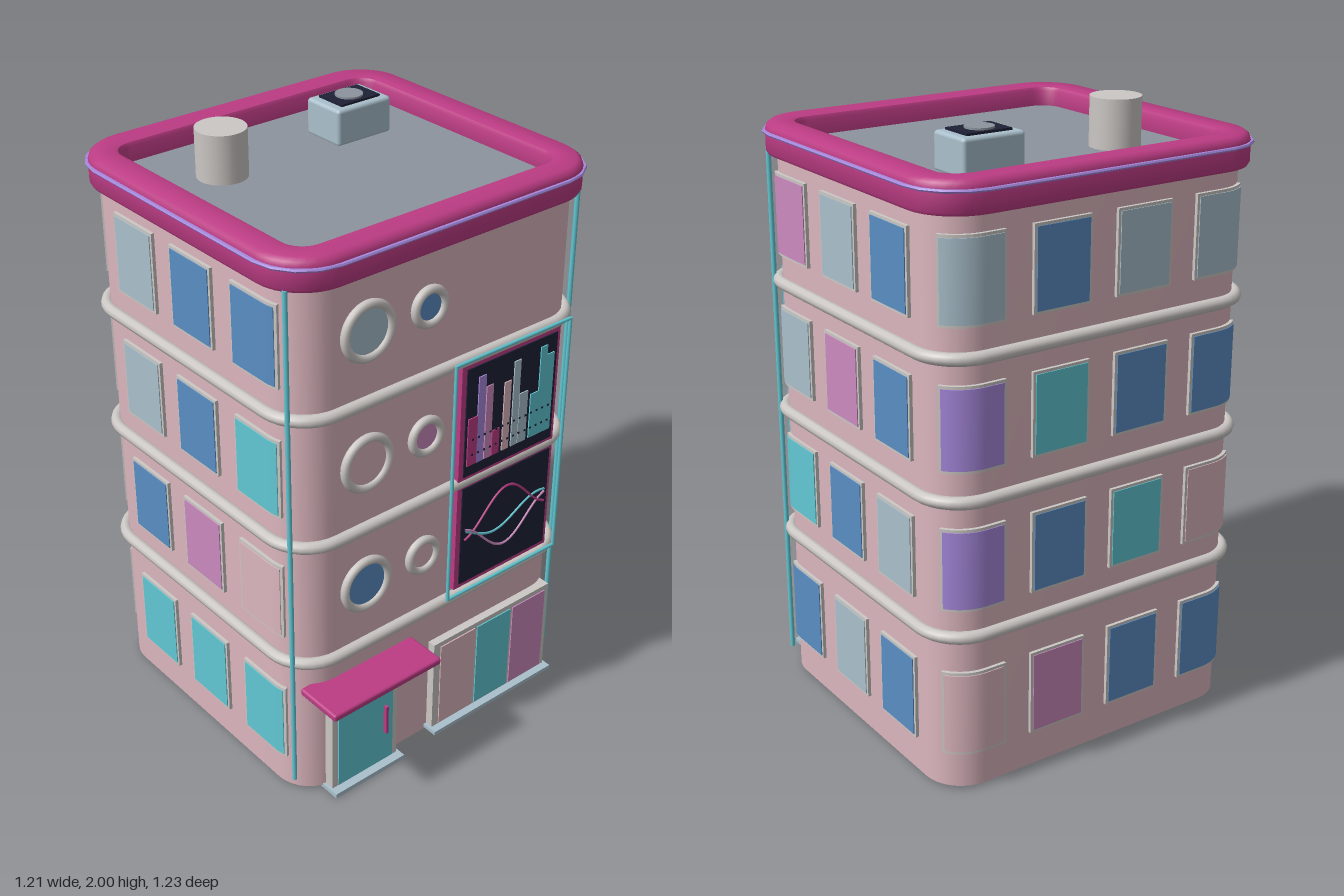
import * as THREE from 'three';
import { toCreasedNormals } from 'three/addons/utils/BufferGeometryUtils.js';
import { RoundedBoxGeometry } from 'three/addons/geometries/RoundedBoxGeometry.js';

const material = (name, color) => {
  const m = new THREE.MeshStandardMaterial({ color });
  m.name = name;
  return m;
};
const M = {
  wall: material('wall pink', 0xdcb6be), trim: material('pale grey trim', 0xcbc7c4),
  magenta: material('magenta', 0xbc3c84), purple: material('purple', 0xa688dc),
  cyan: material('cyan', 0x62c8d4), blue: material('blue', 0x5a8ec4),
  ice: material('ice blue', 0xaac0cc), pink: material('orchid pink', 0xcb8abf),
  dark: material('dark navy', 0x1e2036), roof: material('roof grey', 0x8d949e),
};

// Footprint: a rounded rectangle around (0, CZ)
const CZ = -0.05, HX = 0.56, HZ = 0.52, R = 0.13;
const FRONT = CZ + HZ;

function contour(off, seg) {
  const pts = [];
  for (let q = 0; q < 4; q++) {
    const sx = q === 0 || q === 3 ? 1 : -1, sz = q < 2 ? 1 : -1;
    for (let i = 0; i <= seg; i++) {
      const a = (q + i / seg) * Math.PI / 2;
      pts.push([sx * (HX - R) + (R + off) * Math.cos(a), sz * (HZ - R) + (R + off) * Math.sin(a)]);
    }
  }
  return pts;
}

// Sweeps a profile of [outward offset, y, scale] around the footprint
function loft(profile, seg = 8, closed = true) {
  const pos = [], index = [], n = 4 * (seg + 1);
  const rows = closed ? [...profile, profile[0]] : profile;
  for (const [off, y, k = 1] of rows)
    for (const [x, z] of contour(off, seg)) pos.push(x * k, y, CZ + z * k);
  for (let j = 0; j < rows.length - 1; j++)
    for (let i = 0; i < n; i++) {
      const a = j * n + i, b = j * n + (i + 1) % n, c = a + n, d = b + n;
      index.push(a, c, b, b, c, d);
    }
  const g = new THREE.BufferGeometry();
  g.setAttribute('position', new THREE.Float32BufferAttribute(pos, 3));
  g.setIndex(index);
  return toCreasedNormals(g, 0.7);
}

export function createModel() {
  const model = new THREE.Group();
  model.name = 'building';
  const add = (name, geo, mat, x = 0, y = 0, z = 0, parent = model) => {
    const mesh = new THREE.Mesh(geo, mat);
    mesh.name = name;
    mesh.position.set(x, y, z);
    parent.add(mesh);
    return mesh;
  };
  // Box given by its limits
  const box = (name, mat, x0, x1, y0, y1, z0, z1) =>
    add(name, new THREE.BoxGeometry(x1 - x0, y1 - y0, z1 - z0), mat,
      (x0 + x1) / 2, (y0 + y1) / 2, (z0 + z1) / 2);

  // Shell, floor ledges, parapet and roof
  add('walls', loft([[0, 0.01, 0], [0, 0.01], [0, 1.835], [0, 1.835, 0]], 8, false), M.wall);
  add('roofDeck', loft([[-0.05, 1.845], [-0.05, 1.845, 0]], 8, false), M.roof);
  for (const y of [0.53, 0.965, 1.4]) {
    const p = [];
    for (let i = 0; i < 10; i++) {
      const a = i / 10 * Math.PI * 2;
      p.push([0.011 + 0.02 * Math.cos(a), y + 0.02 * Math.sin(a)]);
    }
    add('floorLedge', loft(p), M.trim);
  }
  add('parapet', loft([[-0.06, 1.81], [0.028, 1.81], [0.034, 1.82], [0.034, 1.885], [0.029, 1.9],
    [0.015, 1.91], [-0.045, 1.91], [-0.058, 1.906], [-0.065, 1.895], [-0.065, 1.82]]), M.magenta);
  add('parapetLine', loft([[0.032, 1.875], [0.042, 1.875], [0.045, 1.88], [0.042, 1.885], [0.032, 1.885]], 4), M.purple);

  // Rooftop vent and cooling unit
  add('vent', new THREE.CylinderGeometry(0.08, 0.08, 0.16, 32), M.trim, -0.275, 1.92, -0.245);
  add('coolingUnit', new RoundedBoxGeometry(0.215, 0.12, 0.16, 2, 0.012), M.ice, 0.243, 1.9, -0.275);
  box('coolingGrille', M.dark, 0.167, 0.322, 1.959, 1.967, -0.33, -0.218);
  add('coolingFan', new THREE.CylinderGeometry(0.045, 0.045, 0.008, 20), M.roof, 0.243, 1.969, -0.275);

  // Windows bend round the corners of the shell
  const bentPlate = (s, w, h, in0, out, dist, flat) => {
    const g = new THREE.BoxGeometry(w, h, out - in0, 14, 1, 1);
    const p = g.attributes.position;
    for (let i = 0; i < p.count; i++) {
      const x = p.getX(i) + s, o = p.getZ(i) + (out + in0) / 2;
      const t = Math.max(0, Math.abs(x) - flat) / R;
      if (t > 0) {
        p.setX(i, Math.sign(x) * (flat + (R + o) * Math.sin(t)));
        p.setZ(i, dist - R + (R + o) * Math.cos(t));
      } else {
        p.setX(i, x);
        p.setZ(i, dist + o);
      }
    }
    return toCreasedNormals(g, 0.6);
  };
  const rows = [[1.49, 1.755], [1.055, 1.32], [0.615, 0.88], [0.13, 0.41]];
  const { wall, cyan, blue, ice, pink, purple, magenta } = M;
  const facades = [
    { name: 'leftWindows', turn: Math.PI / 2, dist: HX, flat: HZ - R, at: [-0.335, -0.04, 0.25],
      panes: [[pink, ice, blue], [ice, pink, blue], [cyan, blue, ice], [blue, ice, blue]] },
    { name: 'rightWindows', turn: -Math.PI / 2, dist: HX, flat: HZ - R, at: [-0.25, 0.04, 0.335],
      panes: [[ice, blue, blue], [ice, blue, cyan], [blue, pink, wall], [cyan, cyan, cyan]] },
    { name: 'backWindows', turn: Math.PI, dist: HZ, flat: HX - R, at: [-0.46, -0.165, 0.13, 0.425],
      panes: [[ice, blue, ice, ice], [purple, cyan, blue, blue], [purple, blue, cyan, wall], [wall, pink, blue, blue]] },
  ];
  for (const f of facades) {
    const group = new THREE.Group();
    group.name = f.name;
    group.rotation.y = f.turn;
    group.position.z = CZ;
    model.add(group);
    rows.forEach(([y0, y1], r) => f.at.forEach((s, c) => {
      const y = (y0 + y1) / 2, h = y1 - y0;
      add('windowFrame', bentPlate(s, 0.202, h, -0.01, 0.011, f.dist, f.flat), M.trim, 0, y, 0, group);
      add('windowPane', bentPlate(s, 0.184, h - 0.018, 0.006, 0.014, f.dist, f.flat), f.panes[r][c], 0, y, 0, group);
    }));
  }

  // Round front windows
  const portholes = [[1.63, ice, blue], [1.195, wall, pink], [0.757, blue, wall]];
  for (const [y, big, small] of portholes)
    for (const [x, r, mat] of [[-0.315, 0.098, big], [-0.085, 0.069, small]]) {
      add('roundWindowFrame', new THREE.TorusGeometry(r - 0.014, 0.014, 10, 36), M.trim, x, y, FRONT + 0.012);
      add('roundWindowPane', new THREE.CircleGeometry(r - 0.02, 36), mat, x, y, FRONT + 0.014);
    }

  // Door, canopy and steps
  box('doorFrame', M.trim, -0.465, -0.195, 0.01, 0.395, FRONT - 0.02, 0.5);
  box('doorPane', cyan, -0.442, -0.216, 0.02, 0.366, 0.497, 0.504);
  box('doorHandle', magenta, -0.255, -0.246, 0.14, 0.25, 0.504, 0.518);
  add('canopy', new RoundedBoxGeometry(0.435, 0.025, 0.17, 2, 0.008), magenta, -0.328, 0.428, 0.527);
  box('doorStep', ice, -0.475, -0.185, 0, 0.016, 0.44, 0.53);
  box('shopStep', ice, -0.045, 0.5, 0.016, 0.03, 0.44, 0.525);

  // Shop window
  box('shopFrame', M.trim, -0.035, 0.49, 0.025, 0.378, 0.42, 0.498);
  [wall, cyan, pink].forEach((mat, i) =>
    box('shopPane', mat, -0.007 + i * 0.163, 0.145 + i * 0.163, 0.036, 0.36, 0.495, 0.502));

  // Corner pipes and the pipe frame round the screens
  const pipe = (name, x, y, z, len, r, flat) => {
    const m = add(name, new THREE.CylinderGeometry(r, r, len, 10), cyan, x, y, z);
    if (flat) m.rotation.z = Math.PI / 2;
  };
  for (const s of [-1, 1]) pipe('cornerPipe', s * 0.562, 0.94, 0.427, 1.75, 0.008);
  for (const x of [0.01, 0.49]) pipe('screenPipe', x, 0.977, 0.503, 0.865, 0.006);
  for (const y of [0.547, 1.407]) pipe('screenPipe', 0.25, y, 0.503, 0.48, 0.006, true);

  // Two screens
  for (const [y0, y1] of [[0.565, 0.963], [0.975, 1.39]]) {
    box('screenFrame', magenta, 0.043, 0.457, y0, y1, 0.44, 0.495);
    box('screenPanel', M.dark, 0.062, 0.443, y0 + 0.016, y1 - 0.016, 0.493, 0.499);
  }

  // Skyline on the upper screen: [left, right, top, colour]
  const towers = [
    [0.07, 0.108, 1.2, magenta], [0.108, 0.138, 1.335, purple], [0.142, 0.17, 1.29, pink],
    [0.174, 0.205, 1.12, magenta], [0.218, 0.246, 1.275, wall], [0.257, 0.284, 1.335, ice],
    [0.286, 0.322, 1.21, ice], [0.335, 0.37, 1.19, cyan], [0.37, 0.398, 1.345, cyan], [0.398, 0.43, 1.31, cyan]];
  for (const [x0, x1, top, mat] of towers) box('skylineTower', mat, x0, x1, 1.03, top, 0.498, 0.503);
  for (let i = 0; i < 14; i++)
    for (const y of [1.065, 1.12])
      box('skylineLight', M.dark, 0.086 + i * 0.025, 0.093 + i * 0.025, y, y + 0.006, 0.501, 0.505);

  // Waves on the lower screen: [centre, swing, phase, colour]
  const waves = [[0.815, 0.068, -1.35, magenta], [0.765, 0.036, 2.6, cyan], [0.725, 0.065, 1.8, pink]];
  for (const [mid, swing, phase, mat] of waves) {
    const pts = [];
    for (let i = 0; i <= 16; i++)
      pts.push(new THREE.Vector3(0.075 + i * 0.0222, mid + swing * Math.sin(phase + i * 0.36), 0.5));
    add('screenWave', new THREE.TubeGeometry(new THREE.CatmullRomCurve3(pts), 40, 0.0045, 6), mat);
  }
  return model;
}
